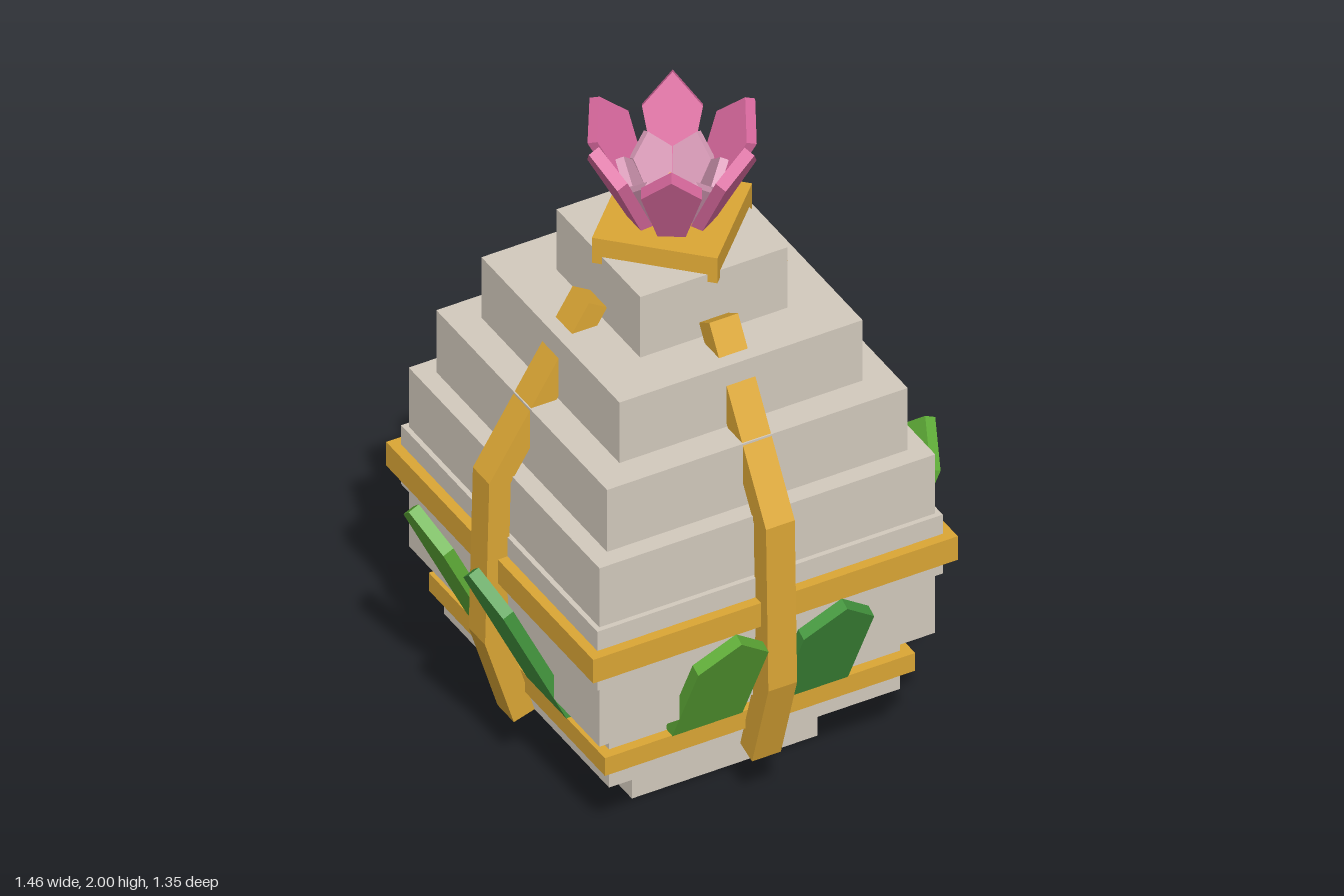
import * as THREE from 'three';

const mat = (name, color) => {
  const m = new THREE.MeshStandardMaterial({ color });
  m.name = name;
  return m;
};

export function createModel() {
  const stone = mat('stone', 0xd3cabd);
  const gold = mat('gold', 0xdba635);
  const lightGreen = mat('light green', 0x60ae38);
  const darkGreen = mat('dark green', 0x469a40);
  const pink = mat('pink', 0xd9699e);
  const palePink = mat('pale pink', 0xdb9dba);

  const model = new THREE.Group();
  model.name = 'steppedEgg';

  const add = (parent, name, geometry, material) => {
    const m = new THREE.Mesh(geometry, material);
    m.name = name;
    parent.add(m);
    return m;
  };
  const group = (parent, name) => {
    const g = new THREE.Group();
    g.name = name;
    parent.add(g);
    return g;
  };
  // Square slab given by half width and bottom and top heights
  const slab = (name, half, y0, y1, material) => {
    const m = add(model, name, new THREE.BoxGeometry(half * 2, y1 - y0, half * 2), material);
    m.position.y = (y0 + y1) / 2;
    return m;
  };
  // Flat pointed blade standing on its base, thickness towards +z
  const blade = (baseHalf, half, shoulder, length, depth) => {
    const s = new THREE.Shape();
    s.moveTo(-baseHalf, 0);
    s.lineTo(baseHalf, 0);
    s.lineTo(half, shoulder);
    s.lineTo(0, length);
    s.lineTo(-half, shoulder);
    s.closePath();
    return new THREE.ExtrudeGeometry(s, { depth, bevelEnabled: false });
  };

  // Stone tiers
  [
    [0.29, 0, 0.17], [0.455, 0.205, 0.415], [0.525, 0.415, 0.62], [0.54, 0.62, 0.82],
    [0.525, 0.82, 1.02], [0.47, 1.02, 1.23], [0.38, 1.23, 1.435], [0.23, 1.435, 1.64],
  ].forEach(([half, y0, y1], i) => slab('stoneTier' + (i + 1), half, y0, y1, stone));

  // Gold bands
  slab('baseBand', 0.325, 0.165, 0.205, gold);
  slab('lowerBand', 0.485, 0.275, 0.335, gold);
  slab('upperBand', 0.57, 0.675, 0.755, gold);

  // Diamond cap with small corner tabs
  const cap = slab('cap', 0.177, 1.64, 1.7, gold);
  cap.rotation.y = Math.PI / 4;
  for (let i = 0; i < 4; i++) {
    const tab = add(model, 'capTab', new THREE.BoxGeometry(0.035, 0.03, 0.035), gold);
    const a = i * Math.PI / 2;
    tab.position.set(Math.sin(a) * 0.225, 1.63, Math.cos(a) * 0.225);
    tab.rotation.y = Math.PI / 4;
  }

  // Curved gold rib on each side
  const ribShape = new THREE.Shape([
    [0.455, 0.205], [0.52, 0.185], [0.61, 0.48], [0.597, 1.02],
    [0.285, 1.52], [0.228, 1.485], [0.53, 1.0], [0.54, 0.49],
  ].map(([x, y]) => new THREE.Vector2(x, y)));
  const ribGeometry = new THREE.ExtrudeGeometry(ribShape, { depth: 0.09, bevelEnabled: false });
  ribGeometry.translate(0, 0, -0.045);
  for (let i = 0; i < 4; i++) {
    add(model, 'rib', ribGeometry, gold).rotation.y = i * Math.PI / 2;
  }

  // Pairs of leaves on the front and both sides
  [[0, 'front', 0.445], [Math.PI / 2, 'left', 0.57], [-Math.PI / 2, 'right', 0.57]].forEach(([turn, side, length]) => {
    const wall = group(model, side + 'Leaves');
    wall.rotation.y = turn;
    [-1, 1].forEach((s) => {
      const leaf = add(wall, 'leaf', blade(0.11, 0.11, length - 0.105, length, 0.035),
        s < 0 ? lightGreen : darkGreen);
      leaf.position.set(s * 0.165, 0.34, 0.45);
      leaf.rotation.x = 0.45;
    });
  });

  // Ring of petals opening upwards
  const petalRing = (parent, name, geometry, material, radius, y, tilt, start) => {
    for (let i = 0; i < 6; i++) {
      const holder = group(parent, name);
      holder.rotation.y = start + i * Math.PI / 3;
      const petal = add(holder, name + 'Blade', geometry, material);
      petal.position.set(0, y, radius);
      petal.rotation.x = tilt;
    }
  };

  // Top flower
  const flower = group(model, 'topFlower');
  petalRing(flower, 'outerPetal', blade(0.035, 0.083, 0.24, 0.335, 0.035), pink, 0.08, 1.7, 0.46, Math.PI / 6);
  petalRing(flower, 'innerPetal', blade(0.03, 0.06, 0.14, 0.2, 0.025), palePink, 0.05, 1.7, 0.42, 0);
  const heart = add(flower, 'flowerHeart', new THREE.BoxGeometry(0.1, 0.1, 0.1), gold);
  heart.position.y = 1.74;
  heart.rotation.set(0.6, 0.5, 0.4);

  // Flower brooch on the back
  const brooch = group(model, 'backBrooch');
  brooch.position.set(0, 0.715, 0);
  brooch.rotation.y = Math.PI;
  const plate = add(brooch, 'broochPlate', new THREE.BoxGeometry(0.3, 0.3, 0.05), gold);
  plate.position.z = 0.587;
  plate.rotation.z = Math.PI / 4 + 0.15;
  [-1, 1].forEach((s) => {
    const arm = add(brooch, 'broochArm', new THREE.BoxGeometry(0.2, 0.08, 0.04), gold);
    arm.position.set(s * 0.215, 0.055, 0.593);
    arm.rotation.z = s * 0.3;
  });
  const smallPetal = blade(0.03, 0.06, 0.1, 0.155, 0.04);
  for (let i = 0; i < 6; i++) {
    const petal = add(brooch, 'broochPetal', smallPetal, i % 2 ? palePink : pink);
    petal.position.z = 0.613 + (i % 2) * 0.003;
    petal.rotation.z = i * Math.PI / 3;
  }
  const stud = add(brooch, 'broochHeart', new THREE.BoxGeometry(0.09, 0.09, 0.06), gold);
  stud.position.z = 0.64;
  stud.rotation.z = 0.6;

  return model;
}
